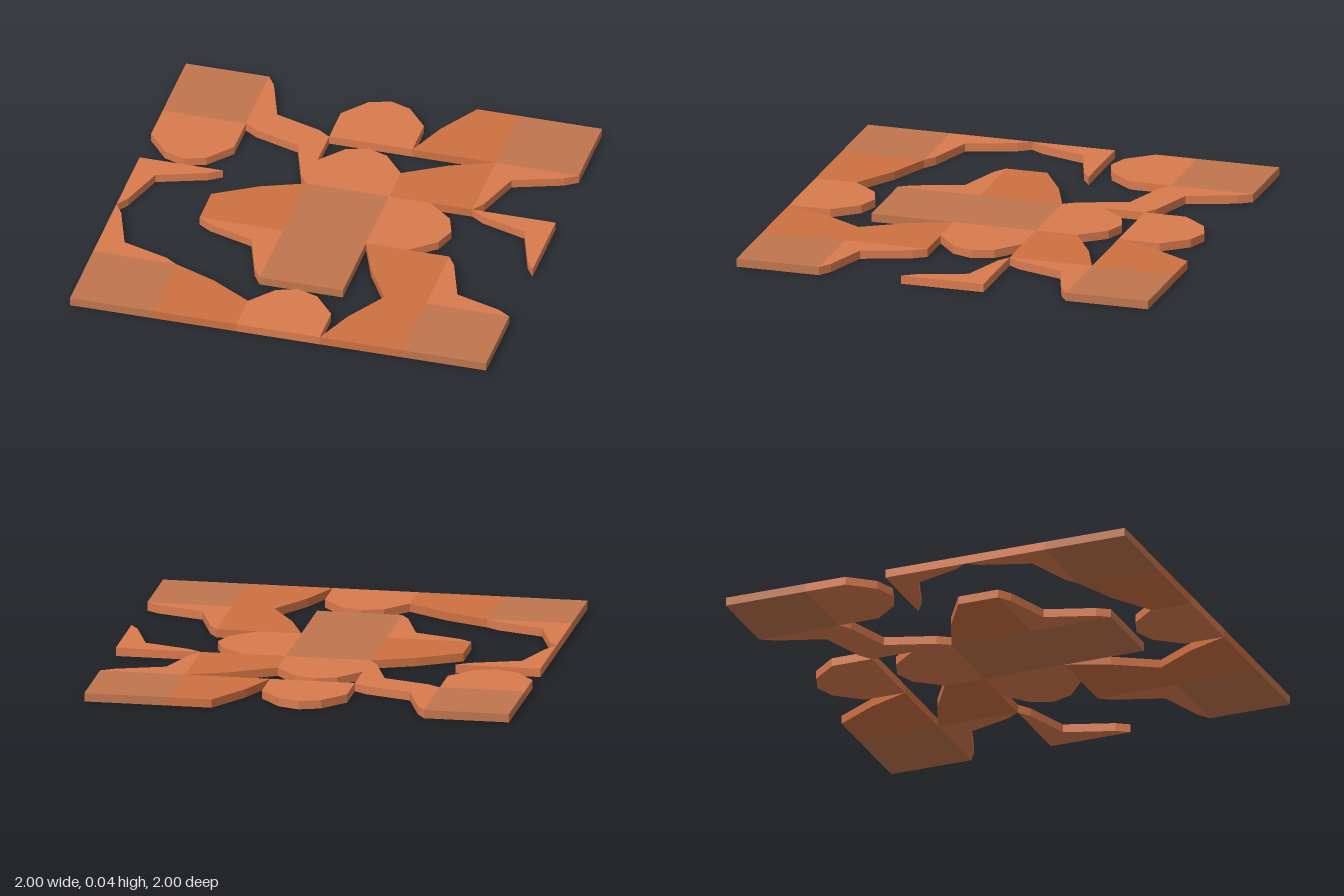
import * as THREE from 'three';

const CELL = 0.4;
const HEIGHT = 0.04;

// Tile outlines as [x, z] around the cell centre, solid edge towards +z
const OUTLINES = {
  full: [[-0.2, -0.2], [0.2, -0.2], [0.2, 0.2], [-0.2, 0.2]],
  roundEnd: [[-0.2, 0], [-0.1, -0.12], [0, -0.155], [0.1, -0.12], [0.2, 0], [0.2, 0.2], [-0.2, 0.2]],
  corner: [[-0.2, -0.2], [-0.16, -0.14], [-0.08, 0.09], [0.14, 0.16], [0.2, 0.2], [-0.2, 0.2]],
  slope: [[-0.2, -0.2], [0, -0.12], [0.2, 0], [0.2, 0.2], [-0.2, 0.2]],
};

const material = (color) => new THREE.MeshStandardMaterial({ color, flatShading: true });

// Layout: [kind, column, row, quarter turns, mirrored]
const TILES = [
  ['full', 0, 0], ['corner', 1, 0, 0], ['roundEnd', 2, 0, 0], ['slope', 3, 0, 3], ['full', 4, 0],
  ['roundEnd', 0, 1, 2], ['corner', 1, 1, 2], ['roundEnd', 2, 1, 0], ['slope', 3, 1, 0, true], ['corner', 4, 1, 1],
  ['corner', 0, 2, 1], ['slope', 1, 2, 0, true], ['full', 2, 2], ['roundEnd', 3, 2, 1], ['corner', 4, 2, 2],
  ['corner', 0, 3, 0], ['corner', 1, 3, 2], ['full', 2, 3], ['slope', 3, 3, 3, true], ['corner', 4, 3, 0],
  ['full', 0, 4], ['slope', 1, 4, 0], ['roundEnd', 2, 4, 0], ['slope', 3, 4, 3], ['full', 4, 4],
];

// Extrudes one outline upwards, after mirroring and turning it in quarter steps
function tileGeometry(kind, turns = 0, mirrored = false) {
  const points = OUTLINES[kind].map(([px, pz]) => {
    let x = mirrored ? -px : px;
    let z = pz;
    for (let i = 0; i < turns; i++) [x, z] = [-z, x];
    return new THREE.Vector2(x, -z);
  });
  const geometry = new THREE.ExtrudeGeometry(new THREE.Shape(points), { depth: HEIGHT, bevelEnabled: false });
  return geometry.rotateX(-Math.PI / 2);
}

export function createModel() {
  const group = new THREE.Group();
  group.name = 'groundTiles';
  const materials = {
    full: material(0xc0754d),
    roundEnd: material(0xd97a4d),
    corner: material(0xd97a4d),
    slope: material(0xcd7041),
  };
  for (const [kind, column, row, turns, mirrored] of TILES) {
    const tile = new THREE.Mesh(tileGeometry(kind, turns, mirrored), materials[kind]);
    tile.name = `${kind}Tile`;
    tile.position.set((column - 2) * CELL, 0, (row - 2) * CELL);
    group.add(tile);
  }
  return group;
}
